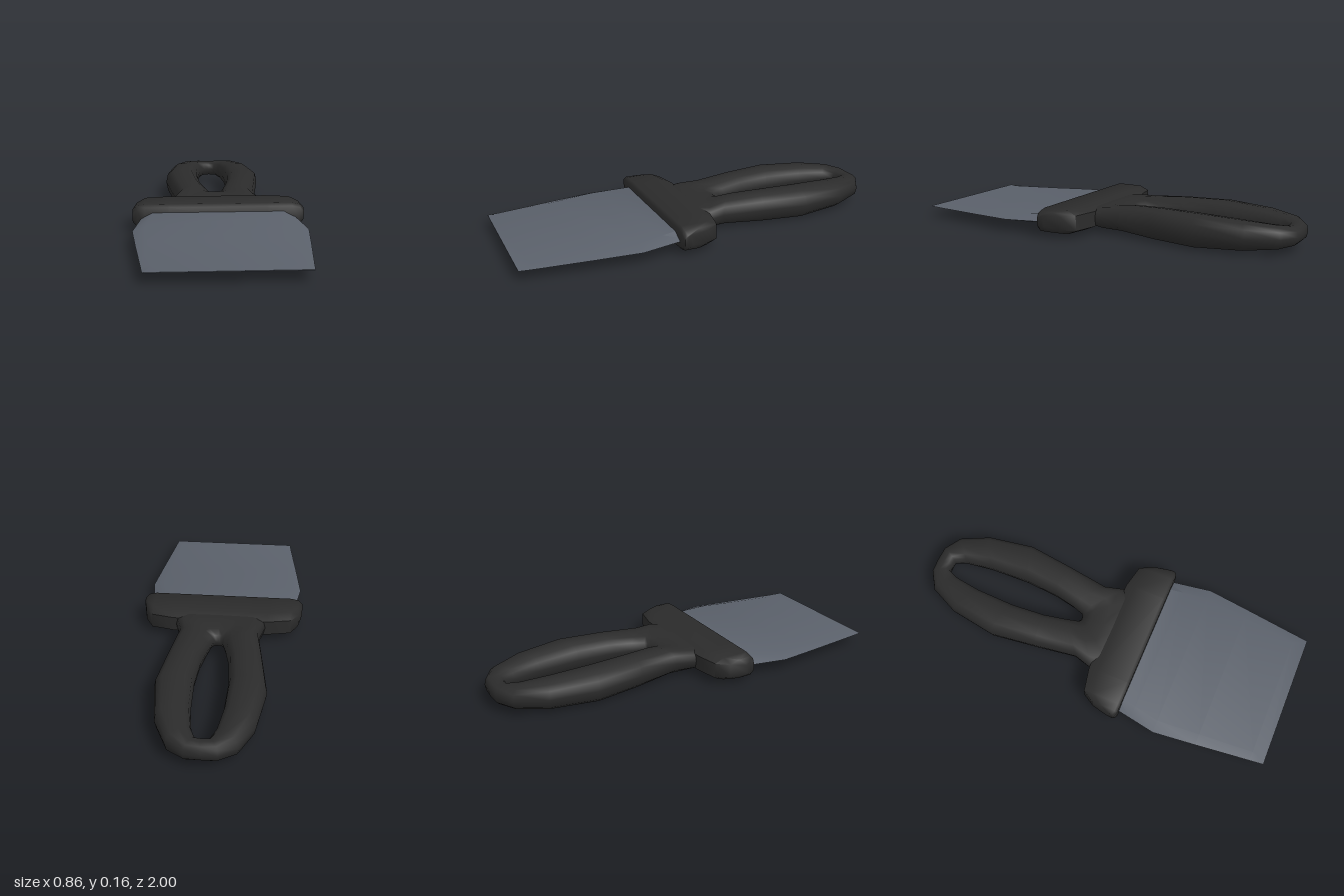
import * as THREE from 'three';
import { toCreasedNormals } from 'three/addons/utils/BufferGeometryUtils.js';

const MID_Y = 0.085;

// Skin a list of rings (each running counter-clockwise about the path); either cap or join the ends
function loft(rings, closed, crease) {
  const n = rings[0].length, m = rings.length, index = [];
  for (let i = 0; i < (closed ? m : m - 1); i++) {
    for (let j = 0; j < n; j++) {
      const k = (j + 1) % n, r = ((i + 1) % m) * n;
      const a = i * n + j, b = i * n + k, c = r + k, d = r + j;
      index.push(a, b, c, a, c, d);
    }
  }
  if (!closed) {
    const e = (m - 1) * n;
    for (let j = 1; j < n - 1; j++) index.push(0, j + 1, j, e, e + j, e + j + 1);
  }
  const g = new THREE.BufferGeometry();
  g.setAttribute('position', new THREE.Float32BufferAttribute(rings.flat(2), 3));
  g.setIndex(index);
  return toCreasedNormals(g, crease);
}

function makeMesh(name, geometry, material) {
  const mesh = new THREE.Mesh(geometry, material);
  mesh.name = name;
  return mesh;
}

// Loop handle: outer x, z, inner x, z and half thickness, from the far end to the root
function handleGeometry() {
  const half = [
    [0, -1, 0, -0.91, 0.042],
    [0.075, -0.995, 0.03, -0.91, 0.046],
    [0.16, -0.94, 0.054, -0.85, 0.056],
    [0.23, -0.79, 0.074, -0.71, 0.07],
    [0.268, -0.55, 0.081, -0.5, 0.08],
    [0.237, -0.31, 0.068, -0.33, 0.077],
    [0.207, -0.09, 0.042, -0.215, 0.067],
    [0.24, 0.02, 0.022, -0.155, 0.058],
    [0.2, 0.1, 0.01, -0.146, 0.054],
    [0, 0.12, 0, -0.145, 0.054],
  ];
  const mirrored = half.slice(1, -1).reverse().map(([ox, oz, ix, iz, h]) => [-ox, oz, -ix, iz, h]);
  const soft = (v) => Math.sign(v) * Math.pow(Math.abs(v), 0.75);
  const rings = [...half, ...mirrored].map(([ox, oz, ix, iz, h]) => {
    const ring = [];
    for (let j = 0; j < 12; j++) {
      const t = (j / 12) * Math.PI * 2;
      const u = soft(Math.cos(t)) / 2, v = soft(Math.sin(t));
      ring.push([(ox + ix) / 2 + u * (ox - ix), MID_Y + h * v, (oz + iz) / 2 + u * (oz - iz)]);
    }
    return ring;
  });
  return loft(rings, true, 1.3);
}

// Collar: chamfered sections along x, given as x, rear z, front z, half height
function collarGeometry() {
  const half = [
    [0.25, 0.005, 0.23, 0.06],
    [0.37, 0.03, 0.23, 0.06],
    [0.41, 0.095, 0.229, 0.051],
    [0.43, 0.18, 0.222, 0.032],
  ];
  const mirrored = half.map(([x, ...rest]) => [-x, ...rest]).reverse();
  const rings = [...mirrored, ...half].map(([x, back, front, h]) => {
    const f = 0.014, b = Math.min(0.05, (front - back) * 0.35), s = h * 0.35;
    return [
      [h, back + b], [h, front - f], [h - f, front], [f - h, front],
      [-h, front - f], [-h, back + b], [-h + s, back], [h - s, back],
    ].map(([y, z]) => [x, MID_Y + y, z]);
  });
  return loft(rings, false, 0.95);
}

// Blade: six-sided sections along z, given as z, half width, edge bevel, bottom y, top y
function bladeGeometry() {
  const sections = [
    [0.18, 0.38, 0.06, 0.053, 0.108],
    [0.3, 0.4, 0.06, 0.053, 0.1],
    [0.43, 0.422, 0.06, 0.054, 0.09],
    [0.65, 0.397, 0.055, 0.054, 0.079],
    [0.93, 0.363, 0.045, 0.054, 0.067],
    [1, 0.355, 0.005, 0.058, 0.062],
  ];
  const rings = sections.map(([z, w, bevel, low, high]) => {
    const mid = low + (high - low) * 0.4;
    return [
      [w, mid], [w - bevel, high], [bevel - w, high],
      [-w, mid], [bevel - w, low], [w - bevel, low],
    ].map(([x, y]) => [x, y, z]);
  });
  return loft(rings, false, 0.5);
}

export function createModel() {
  const grip = new THREE.MeshStandardMaterial({ color: 0x2b2b2b });
  const steel = new THREE.MeshStandardMaterial({ color: 0x5a606a });
  const model = new THREE.Group();
  model.name = 'scraper';
  model.add(
    makeMesh('handle', handleGeometry(), grip),
    makeMesh('collar', collarGeometry(), grip),
    makeMesh('blade', bladeGeometry(), steel),
  );
  return model;
}
